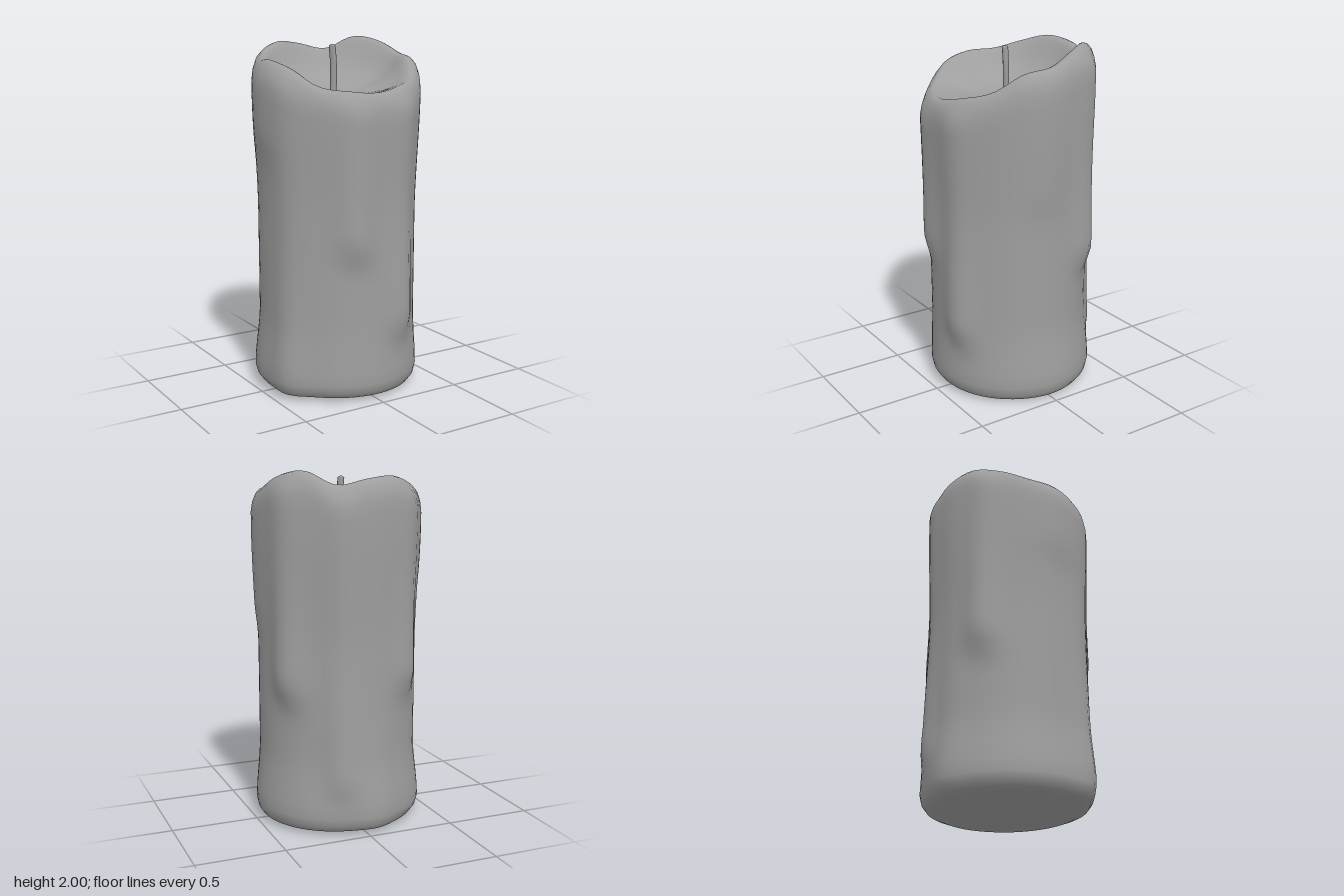
import * as THREE from 'three';

const COLS = 60, BODY_RINGS = 26;
const lerp = THREE.MathUtils.lerp, smooth = THREE.MathUtils.smoothstep;

// Rim height every 22.5 degrees, from +x towards +z
const RIM = [1.91, 1.88, 1.785, 1.745, 1.715, 1.725, 1.75, 1.84, 1.88, 1.885, 1.93, 1.97, 1.955, 1.925, 1.995, 1.975];

// Wax drips: [angle in degrees, bulge, height of the lower end, half width in degrees]
const DRIPS = [
  [70, 0.052, 0.42, 12], [109, 0.045, 0.88, 12], [-32, 0.06, 0.82, 12],
  [237, 0.055, 0.85, 12], [-72, 0.045, 0.3, 11], [157, 0.04, 0.1, 13],
  [262, 0.02, 0.1, 12], [10, 0.015, 1.2, 14], [182, 0.02, 1.45, 18],
];

function rimHeight(a) {
  const n = RIM.length, f = (a / (Math.PI * 2)) * n, i = Math.floor(f), t = f - i;
  const [p, q, r, s] = [-1, 0, 1, 2].map((k) => RIM[(i + k + n) % n]);
  return q + 0.5 * t * (r - p + t * (2 * p - 5 * q + 4 * r - s + t * (3 * (q - r) + s - p)));
}

// Outer wall: waisted column with a flared foot, and drips that swell at their ends
function wallRadius(a, y) {
  const flare = 0.03 - 0.022 * Math.max(0, Math.sin(a));
  let r = 0.452 + 0.024 * smooth(y, 1.0, 1.75) + flare * (1 - smooth(y, 0.08, 0.45));
  const deg = THREE.MathUtils.radToDeg(a);
  for (const [angle, bulge, end, width] of DRIPS) {
    const d = ((deg - angle + 540) % 360) - 180;
    const along = smooth(y, end - 0.17, end + 0.06) * (1 - 0.5 * smooth(y, end, end + 0.8));
    r += bulge * along * Math.exp(-((d / width) ** 2));
  }
  return r;
}

// One vertical section, from the centre of the base, over the rim, to the centre of the bowl
function section(a) {
  const h = rimHeight(a), floor = 1.69;
  const foot = wallRadius(a, 0.12), top = wallRadius(a, h - 0.15);
  const lift = 0.012 * (1 - Math.cos(a)) / 2;
  const pts = [[0, 0.012], [foot * 0.6, 0.008], [foot * 0.83, lift], [foot * 0.93, 0.018 + lift], [foot * 0.98, 0.05 + lift]];
  for (let i = 0; i <= BODY_RINGS; i++) {
    const y = lerp(0.1, h - 0.13, i / BODY_RINGS);
    pts.push([wallRadius(a, y), y]);
  }
  pts.push([lerp(top, 0.475, 0.4) * 0.99, h - 0.075], [0.457, h - 0.03], [0.435, h - 0.006], [0.416, h], [0.398, h - 0.006]);
  for (const [r, k] of [[0.382, 0.07], [0.364, 0.18], [0.34, 0.34], [0.305, 0.53], [0.255, 0.71], [0.19, 0.86], [0.12, 0.95], [0.05, 0.99], [0, 1]]) {
    pts.push([r, lerp(h - 0.006, floor, k)]);
  }
  return pts;
}

function candleGeometry() {
  const pos = [], index = [];
  let rows = 0;
  for (let j = 0; j < COLS; j++) {
    const a = (j / COLS) * Math.PI * 2, pts = section(a);
    rows = pts.length;
    for (const [r, y] of pts) pos.push(r * Math.cos(a), y, r * Math.sin(a));
  }
  for (let j = 0; j < COLS; j++) {
    const p = j * rows, q = ((j + 1) % COLS) * rows;
    for (let i = 0; i < rows - 1; i++) {
      if (i < rows - 2) index.push(p + i, p + i + 1, q + i + 1);
      else index.push(p + i, p + i + 1, q + i);
      if (i > 0 && i < rows - 2) index.push(p + i, q + i + 1, q + i);
    }
  }
  const geo = new THREE.BufferGeometry();
  geo.setAttribute('position', new THREE.Float32BufferAttribute(pos, 3));
  geo.setIndex(index);
  geo.computeVertexNormals();
  return geo;
}

export function createModel() {
  const model = new THREE.Group();
  model.name = 'candle';
  const material = new THREE.MeshStandardMaterial({ color: 0x9e9e9e });

  const wax = new THREE.Mesh(candleGeometry(), material);
  wax.name = 'waxBody';
  model.add(wax);

  // Slightly bent six-sided wick with a closed tip
  const path = new THREE.CatmullRomCurve3([
    new THREE.Vector3(-0.024, 1.66, 0), new THREE.Vector3(-0.019, 1.76, 0),
    new THREE.Vector3(-0.02, 1.86, 0), new THREE.Vector3(-0.028, 1.95, 0),
  ]);
  const wick = new THREE.Group();
  wick.name = 'wick';
  const stem = new THREE.Mesh(new THREE.TubeGeometry(path, 8, 0.019, 6), material);
  stem.name = 'wickStem';
  const tip = new THREE.Mesh(new THREE.SphereGeometry(0.019, 6, 3, 0, Math.PI * 2, 0, Math.PI / 2), material);
  tip.name = 'wickTip';
  tip.scale.y = 0.6;
  tip.position.set(-0.028, 1.949, 0);
  wick.add(stem, tip);
  model.add(wick);

  return model;
}
